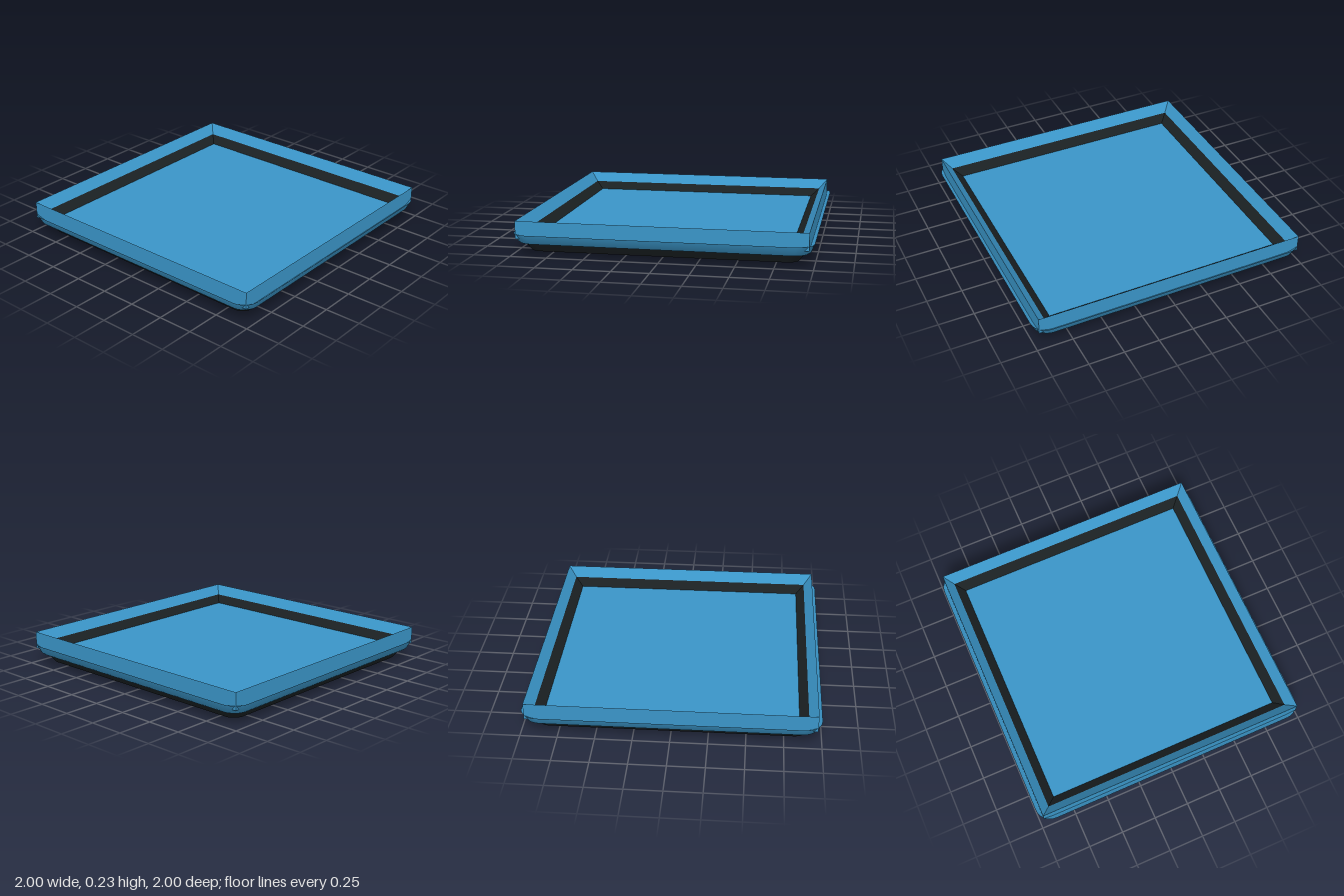
import * as THREE from 'three';
import { toCreasedNormals } from 'three/addons/utils/BufferGeometryUtils.js';

const blue = new THREE.MeshStandardMaterial({ color: 0x3a95c8 });
const black = new THREE.MeshStandardMaterial({ color: 0x1a2022 });
const STEPS = 6;

// Rounded square outline with the given half width and corner radius
function ring([half, y, radius = 0]) {
  const points = [];
  for (let corner = 0; corner < 4; corner++) {
    const mid = (corner + 0.5) * Math.PI / 2;
    const cx = Math.sign(Math.cos(mid)) * (half - radius);
    const cz = Math.sign(Math.sin(mid)) * (half - radius);
    const steps = radius > 0 ? STEPS : 0;
    for (let s = 0; s <= steps; s++) {
      const a = (corner + (steps ? s / steps : 0.5)) * Math.PI / 2;
      points.push([cx + radius * Math.cos(a), y, cz + radius * Math.sin(a)]);
    }
  }
  return points;
}

// Skin a profile of [half width, height, corner radius] rings
function loft(name, material, profile, crease = 0.7) {
  const rings = profile.map(ring);
  const n = rings[0].length;
  const positions = [];
  for (let i = 0; i + 1 < rings.length; i++) {
    for (let j = 0; j < n; j++) {
      const k = (j + 1) % n;
      const a = rings[i][j], b = rings[i + 1][j], c = rings[i + 1][k], d = rings[i][k];
      positions.push(...a, ...b, ...c, ...a, ...c, ...d);
    }
  }
  const geometry = new THREE.BufferGeometry();
  geometry.setAttribute('position', new THREE.Float32BufferAttribute(positions, 3));
  const mesh = new THREE.Mesh(toCreasedNormals(geometry, crease), material);
  mesh.name = name;
  return mesh;
}

export function createModel() {
  const tray = new THREE.Group();
  tray.name = 'squareTray';

  // Underside with a shallow bevel, from the centre outwards
  tray.add(loft('underside', blue, [
    [0.002, 0, 0.001], [0.82, 0, 0.06], [0.9, 0.02, 0.08],
  ]));

  // Dark sloping skirt
  tray.add(loft('skirt', black, [[0.9, 0.02, 0.08], [0.94, 0.08, 0.09]]));

  // Flared lip with a narrow groove behind it
  tray.add(loft('lip', blue, [
    [0.94, 0.08, 0.09], [0.965, 0.08, 0.1], [0.978, 0.092, 0.105],
    [1, 0.145, 0.11], [0.97, 0.12, 0.1], [0.94, 0.115, 0.09],
  ]));

  // Square-cornered rim: closed below, upright outside, sloping inside
  tray.add(loft('rim', blue, [
    [0.91, 0.115], [0.97, 0.115], [0.97, 0.235], [0.91, 0.168],
  ], 0.3));

  // Dark band around the floor
  tray.add(loft('innerBand', black, [[0.91, 0.168], [0.85, 0.117]], 0.3));

  // Flat tray floor
  const floor = new THREE.Mesh(new THREE.PlaneGeometry(1.7, 1.7).rotateX(-Math.PI / 2), blue);
  floor.name = 'floor';
  floor.position.y = 0.117;
  tray.add(floor);

  return tray;
}
